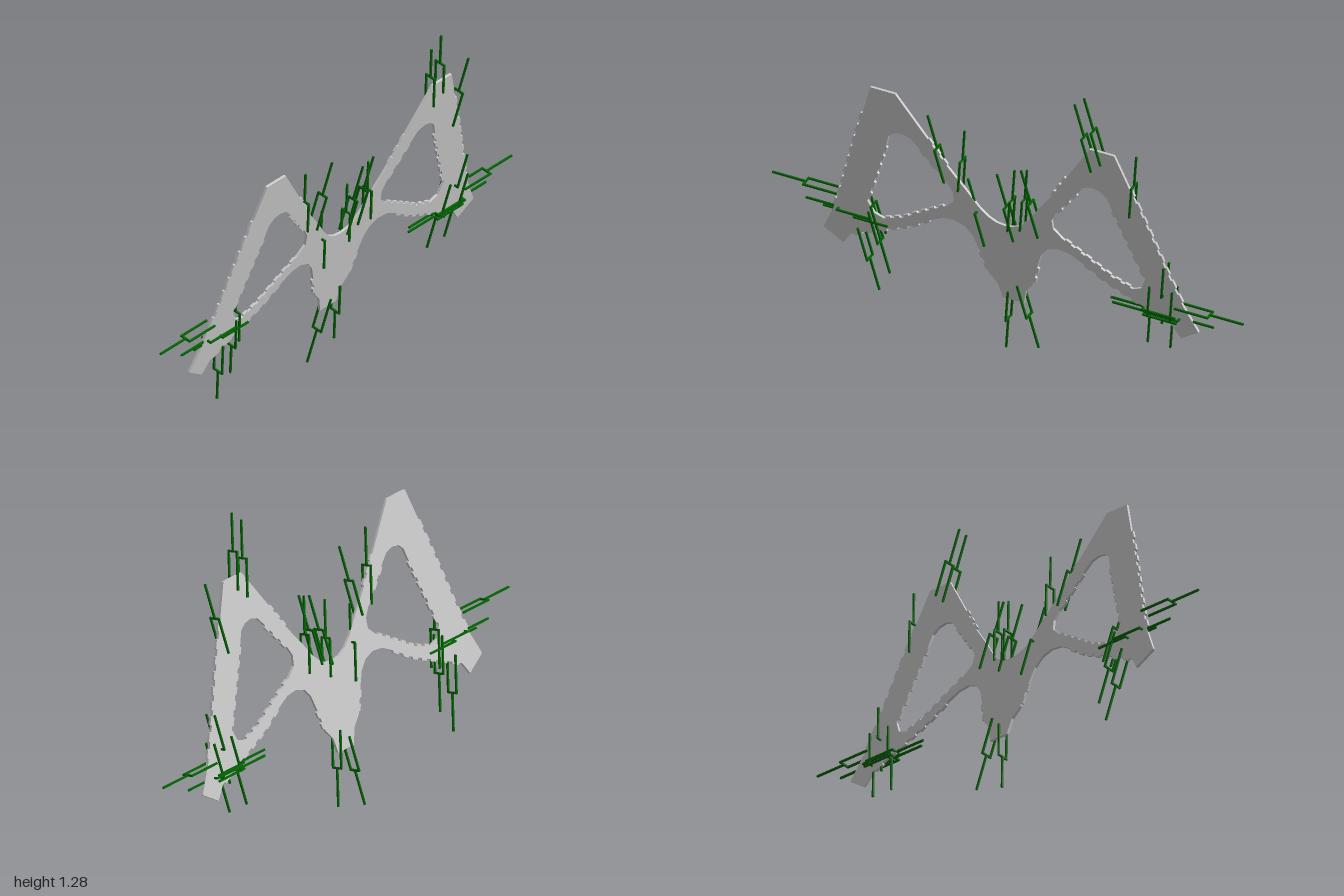
import * as THREE from 'three';

const TILT = Math.atan(0.1875);
const STRETCH = 1 / Math.cos(TILT); // upright heights to heights along the leaning plane

// Turns [x, y, toothed?] points into an outline; marked edges get shallow square teeth
function outline(points, closed) {
  const out = [];
  points.forEach(([x, y, toothed], i) => {
    const a = new THREE.Vector2(x, y);
    out.push(a);
    if (!toothed || (!closed && i === points.length - 1)) return;
    const next = points[(i + 1) % points.length];
    const d = new THREE.Vector2(next[0], next[1]).sub(a);
    const len = d.length();
    const n = Math.max(1, Math.round(len / 0.055));
    const normal = new THREE.Vector2(d.y, -d.x).divideScalar(len);
    for (let k = 0; k < n; k++) {
      [[0.2, 0], [0.24, -0.008], [0.76, -0.008], [0.8, 0]].forEach(([t, o]) =>
        out.push(a.clone().addScaledVector(d, (k + t) / n).addScaledVector(normal, o)));
    }
  });
  return out;
}

const lift = (p) => new THREE.Vector2(p.x, p.y * STRETCH);
const mirror = (pts) => pts.map((p) => new THREE.Vector2(-p.x, p.y)).reverse();

export function createModel() {
  const model = new THREE.Group();
  model.name = 'clippedPlate';
  const leaning = new THREE.Group();
  leaning.name = 'leaningAssembly';
  leaning.rotation.x = TILT;
  leaning.position.z = -0.12;
  model.add(leaning);

  // Half outline, from the upper saddle round the wing to the foot
  const half = outline([
    [0, 0.575], [0.035, 0.58], [0.07, 0.597], [0.105, 0.63], [0.15, 0.69],
    [0.22, 0.775, 1], [0.3, 0.89], [0.415, 1.052], [0.52, 1.052], [0.565, 0.93, 1],
    [0.61, 0.81, 1], [0.7, 0.55, 1], [0.745, 0.435], [0.8, 0.33],
    [0.72, 0.28], [0.685, 0.33, 1], [0.56, 0.385, 1], [0.42, 0.445, 1],
    [0.32, 0.505], [0.27, 0.53], [0.22, 0.536], [0.175, 0.52], [0.145, 0.485],
    [0.125, 0.43, 1], [0.095, 0.335], [0.06, 0.295], [0.045, 0.235],
  ], false);
  const shape = new THREE.Shape([...half, ...mirror(half).slice(0, -1)].map(lift));

  // One rounded triangular opening in each wing
  const opening = outline([
    [0.405, 0.872], [0.37, 0.862], [0.34, 0.83, 1], [0.23, 0.7], [0.21, 0.665],
    [0.212, 0.625], [0.25, 0.59, 1], [0.33, 0.545, 1], [0.45, 0.475, 1],
    [0.53, 0.448], [0.57, 0.462], [0.593, 0.51, 1], [0.55, 0.62, 1],
    [0.48, 0.8], [0.465, 0.845], [0.44, 0.866],
  ], true);
  shape.holes.push(new THREE.Path(opening.map(lift)), new THREE.Path(mirror(opening).map(lift)));

  const THICK = 0.01;
  const plateGeometry = new THREE.ExtrudeGeometry(shape, { depth: THICK, bevelEnabled: false });
  plateGeometry.translate(0, 0, -THICK / 2);
  const plate = new THREE.Mesh(plateGeometry, new THREE.MeshStandardMaterial({ color: 0xcccccc }));
  plate.name = 'wingedPlate';
  leaning.add(plate);

  // Forked wire clips: [stem x, stem y, prong tip x, prong tip y]
  const clips = [
    [0.37, 1.24, 0.42, 0.96], [0.415, 1.282, 0.465, 1.002], [0.615, 1.075, 0.565, 0.795],
    [-0.285, 0.99, -0.235, 0.71], [-0.13, 0.967, -0.178, 0.688],
    [-0.01, 0.805, 0.04, 0.525], [0.07, 0.847, 0.02, 0.567],
    [0.098, 0.855, 0.15, 0.575], [0.125, 0.865, 0.075, 0.585],
    [-0.06, 0, -0.01, 0.28], [0.083, 0.04, 0.033, 0.32],
    [-0.59, 0.1, -0.64, 0.38], [-0.535, 0.193, -0.585, 0.472],
    [-0.14, 0.745, -0.09, 0.465], [-0.597, 0.637, -0.545, 0.357],
    [0.568, 0.215, 0.618, 0.495], [0.665, 0.218, 0.715, 0.498], [0.64, 0.32, 0.69, 0.6],
    [-1, 0.515, -0.715, 0.515], [-0.865, 0.44, -0.58, 0.44], [-0.793, 0.428, -0.508, 0.428],
    [1, 0.425, 0.715, 0.425], [0.867, 0.37, 0.582, 0.37],
    [0.43, 0.378, 0.715, 0.378], [0.433, 0.356, 0.718, 0.356],
  ];
  const green = new THREE.MeshStandardMaterial({ color: 0x006400 });
  const WIRE = 0.007;
  const SPREAD = 0.02;
  const bar = new THREE.BoxGeometry(1, 1, 1);
  clips.forEach(([x0, y0, x1, y1]) => {
    const a = lift({ x: x0, y: y0 });
    const d = lift({ x: x1, y: y1 }).sub(a);
    const len = d.length();
    const clip = new THREE.Group();
    clip.name = 'clip';
    clip.position.set(a.x, a.y, 0);
    clip.rotation.z = Math.atan2(d.y, d.x);
    const add = (name, x, z, lx, lz) => {
      const mesh = new THREE.Mesh(bar, green);
      mesh.name = name;
      mesh.position.set(x, 0, z);
      mesh.scale.set(lx, WIRE, lz);
      clip.add(mesh);
    };
    add('stem', len / 4, 0, len / 2, WIRE);
    add('crossbar', len / 2, 0, WIRE, 2 * SPREAD + WIRE);
    for (const s of [-1, 1]) add('prong', len * 0.75, s * SPREAD, len / 2, WIRE);
    leaning.add(clip);
  });

  return model;
}
